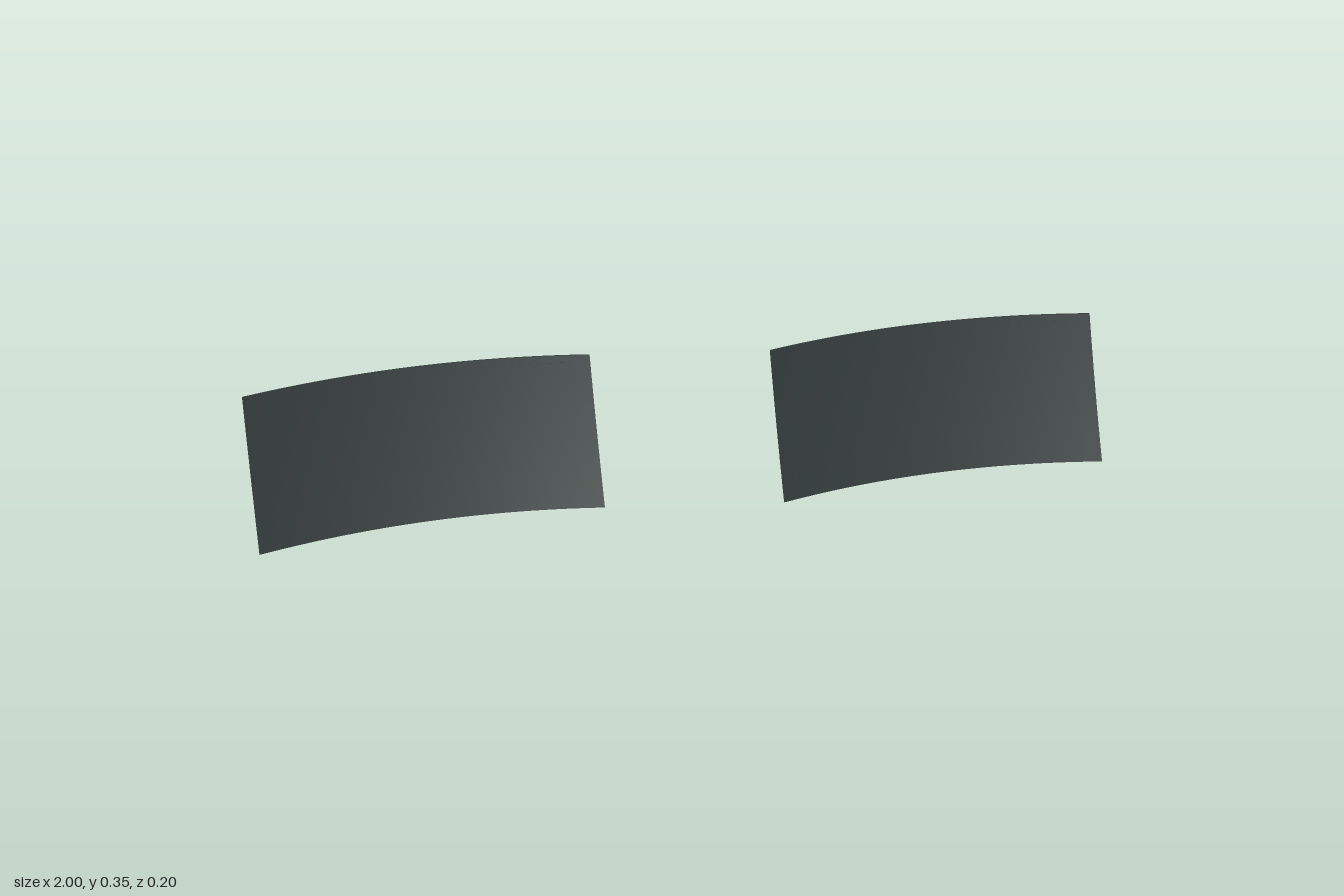
import * as THREE from 'three';

// Bend a thin box into a raked, bowed sheet; outer edges stay straight from the front.
function bentSheet(p, x0, x1, y0, y1, thickness) {
  const geo = new THREE.BoxGeometry(x1 - x0, y1 - y0, thickness, 28, 8, 1);
  geo.translate((x0 + x1) / 2, (y0 + y1) / 2, 0);
  const pos = geo.attributes.position;
  for (let i = 0; i < pos.count; i++) {
    const dx = pos.getX(i) - p.apex;
    const v = (pos.getY(i) - p.y0) / (p.y1 - p.y0);
    const rake = -0.13 * v - 0.016 * v * (1 - v);
    pos.setZ(i, pos.getZ(i) + p.z + 0.316 * dx * dx + rake);
  }
  geo.computeVertexNormals();
  return geo;
}

export function createModel() {
  const model = new THREE.Group();
  const darkGlass = new THREE.MeshStandardMaterial({ color: 0x343d3c });

  const panels = [
    { name: 'rightPanel', x0: -1, x1: -0.21, y0: 0.03, y1: 0.355, apex: -0.565, z: 0.027 },
    { name: 'leftPanel', x0: 0.21, x1: 1, y0: 0, y1: 0.328, apex: 0.614, z: 0.043 },
  ];

  for (const p of panels) {
    const panel = new THREE.Group();
    panel.name = p.name;

    // Thin sheet reaching the outer border
    const border = new THREE.Mesh(bentSheet(p, p.x0, p.x1, p.y0, p.y1, 0.004), darkGlass);
    border.name = 'borderSheet';

    // Slightly raised middle field, inset from the border
    const field = new THREE.Mesh(
      bentSheet(p, p.x0 + 0.045, p.x1 - 0.045, p.y0 + 0.015, p.y1 - 0.015, 0.006), darkGlass);
    field.name = 'raisedField';

    panel.add(border, field);
    model.add(panel);
  }
  return model;
}
